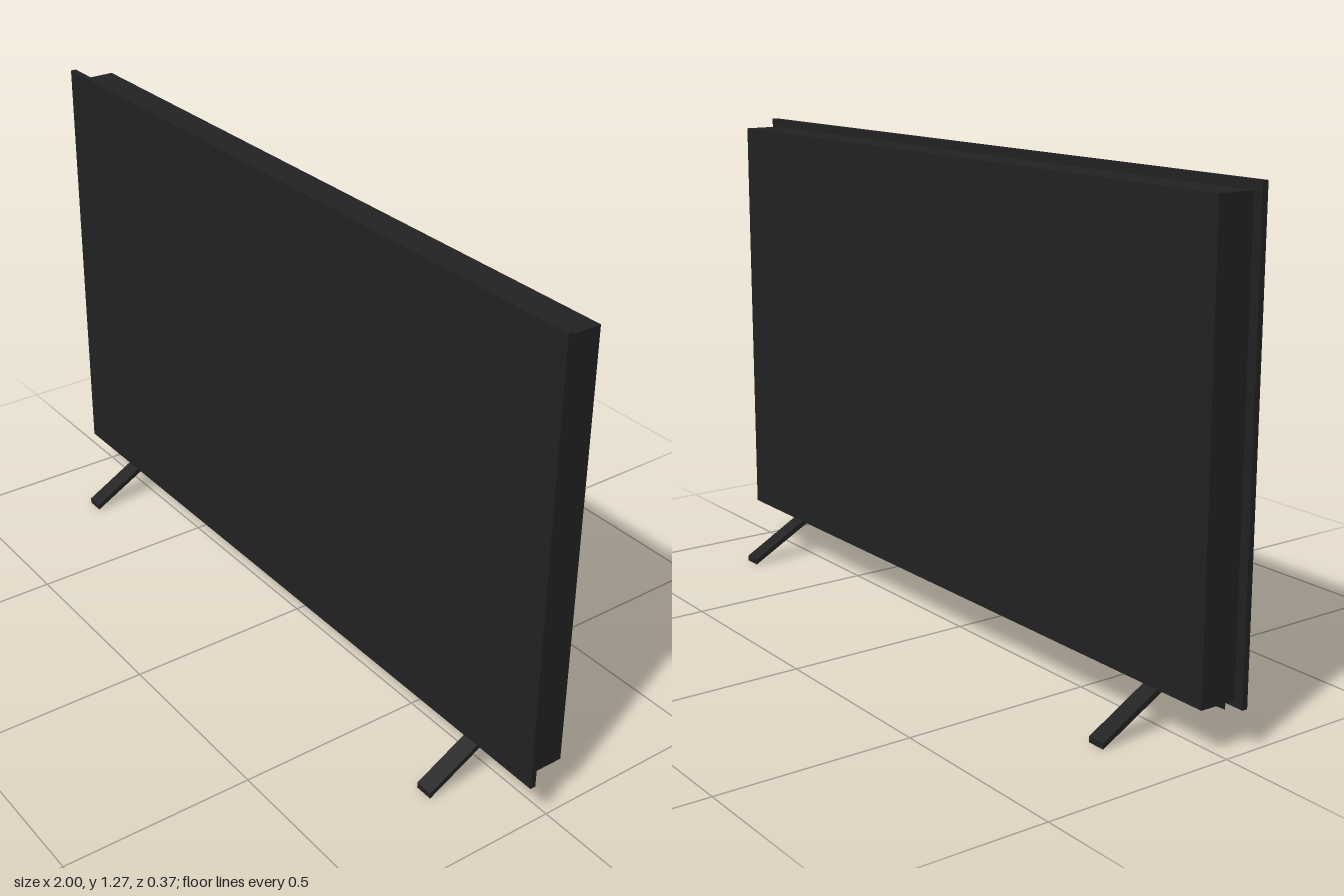
import * as THREE from 'three';

export function createModel() {
  const group = new THREE.Group();
  const black = new THREE.MeshStandardMaterial({ color: 0x222222 });
  black.name = 'matte black';

  const add = (name, geometry, x, y, z) => {
    const mesh = new THREE.Mesh(geometry, black);
    mesh.name = name;
    mesh.position.set(x, y, z);
    group.add(mesh);
  };

  // Thin front panel overhanging the deeper housing behind it
  add('screenPanel', new THREE.BoxGeometry(2, 1.162, 0.015), 0, 0.685, 0.05);
  add('rearHousing', new THREE.BoxGeometry(1.95, 1.124, 0.099), 0, 0.682, -0.007);

  // Legs: a flat bar folded into an inverted V, with upright cut ends
  const profile = new THREE.Shape([
    [-0.187, 0], [0, 0.103], [0.187, 0], [0.187, 0.015], [0, 0.12], [-0.187, 0.015],
  ].map(([z, y]) => new THREE.Vector2(z, y)));
  const width = 0.048;
  const leg = new THREE.ExtrudeGeometry(profile, { depth: width, bevelEnabled: false });
  leg.translate(0, 0, -width / 2).rotateY(Math.PI / 2);
  add('leftLeg', leg, 0.779, 0, 0);
  add('rightLeg', leg, -0.779, 0, 0);

  return group;
}
